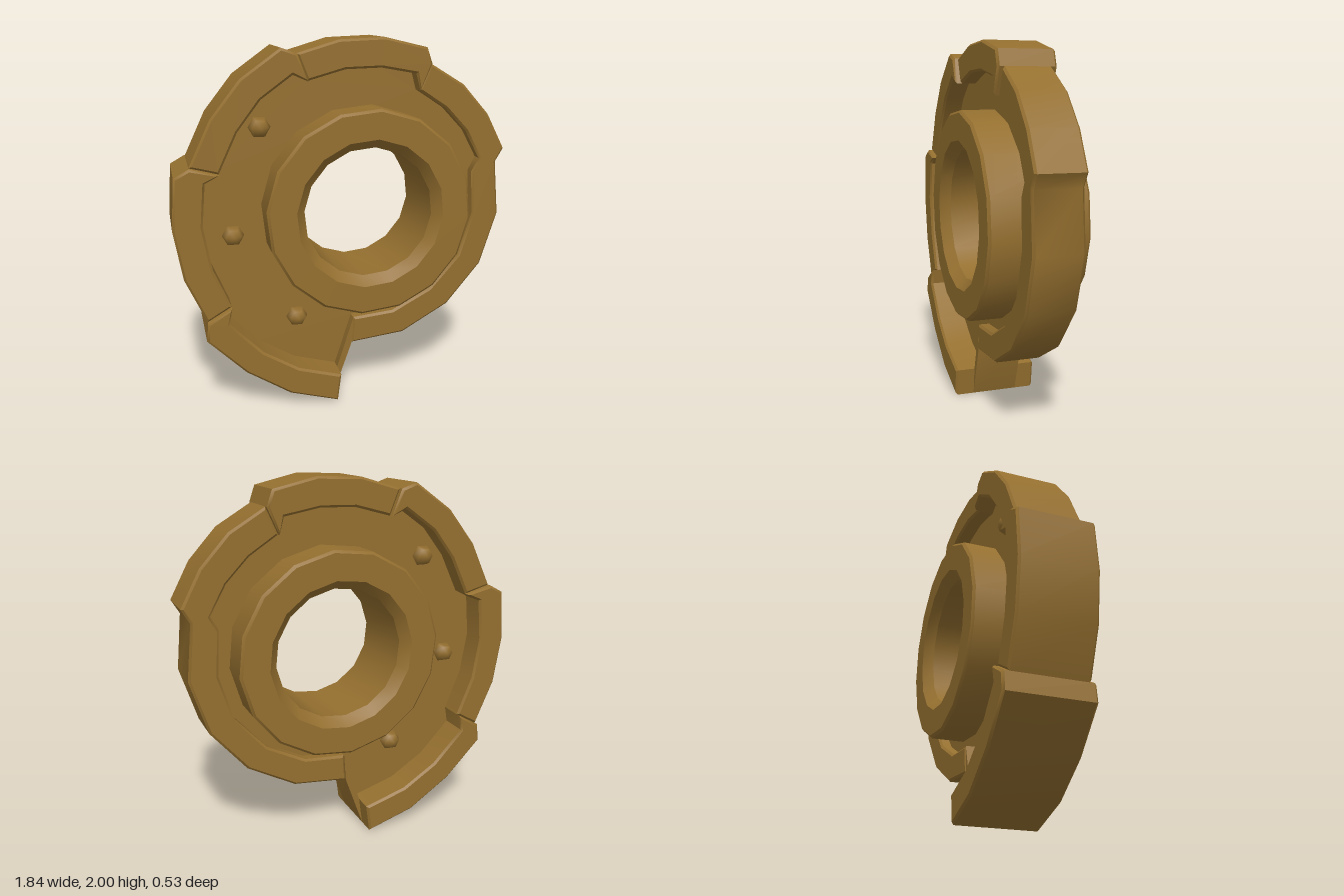
import * as THREE from 'three';
import { toCreasedNormals } from 'three/addons/utils/BufferGeometryUtils.js';

const HUB = { x: 0.117, y: 1.086 };

// Stepped spiral outline and the matching inner edge of the rim, point for point
const OUTER = [
  [-0.06, 0], [-0.33, 0.08], [-0.57, 0.235], [-0.775, 0.44],
  [-0.765, 0.54], [-0.875, 0.785], [-0.92, 1.055], [-0.9, 1.325],
  [-0.82, 1.37], [-0.705, 1.61], [-0.55, 1.805], [-0.34, 1.955],
  [-0.255, 1.925], [-0.035, 1.99], [0.21, 2], [0.445, 1.945],
  [0.475, 1.86], [0.668, 1.745], [0.818, 1.58], [0.922, 1.385],
  [0.878, 1.31], [0.908, 1.01], [0.815, 0.713], [0.62, 0.48], [0.352, 0.33], [0.045, 0.298],
];
const INNER = [
  [-0.04, 0.155], [-0.28, 0.225], [-0.475, 0.345], [-0.65, 0.525],
  [-0.635, 0.615], [-0.725, 0.83], [-0.765, 1.065], [-0.745, 1.29],
  [-0.67, 1.33], [-0.57, 1.54], [-0.447, 1.7], [-0.28, 1.82],
  [-0.2, 1.785], [0, 1.84], [0.195, 1.845], [0.387, 1.81],
  [0.412, 1.72], [0.567, 1.62], [0.69, 1.492], [0.777, 1.335],
  [0.737, 1.26], [0.752, 1.02], [0.677, 0.775], [0.508, 0.585], [0.288, 0.47], [0.055, 0.45],
];
// First point, last point and half thickness of each rim segment
const SEGMENTS = [
  [0, 4, 0.235], [4, 8, 0.208], [8, 12, 0.182], [12, 16, 0.155], [16, 25, 0.13],
];
const RIVETS = [[-0.443, 1.548], [-0.6, 0.97], [-0.26, 0.473]];
const PLATE_HALF = 0.068;

const toShape = (points) => new THREE.Shape(points.map(([x, y]) => new THREE.Vector2(x, y)));

// Extrude an outline symmetrically about z = 0, with the bevel cut inside the outline
function slab(shape, half, bevel) {
  const geometry = new THREE.ExtrudeGeometry(shape, {
    depth: 2 * (half - bevel),
    bevelEnabled: bevel > 0,
    bevelThickness: bevel,
    bevelSize: bevel,
    bevelOffset: -bevel,
    bevelSegments: 1,
  });
  geometry.translate(0, 0, bevel - half);
  return toCreasedNormals(geometry, 0.7);
}

export function createModel() {
  const group = new THREE.Group();
  const bronze = new THREE.MeshStandardMaterial({ color: 0x946f2f });
  const add = (name, geometry) => {
    const mesh = new THREE.Mesh(geometry, bronze);
    mesh.name = name;
    group.add(mesh);
    return mesh;
  };

  // Recessed central plate
  const plate = toShape(INNER);
  plate.holes.push(new THREE.Path().absarc(HUB.x, HUB.y, 0.46, 0, Math.PI * 2, true));
  add('plate', slab(plate, PLATE_HALF, 0));

  // Rim segments, thinning step by step around the spiral
  SEGMENTS.forEach(([from, to, half], i) => {
    const outline = [...OUTER.slice(from, to + 1), ...INNER.slice(from, to + 1).reverse()];
    add(`rimSegment${i + 1}`, slab(toShape(outline), half, 0.012));
  });

  // Thin wall closing the open end of the spiral
  add('endWall', slab(toShape([INNER[25], OUTER[25], OUTER[0], INNER[0]]), 0.127, 0));

  // Hub ring with a chamfered bore
  const half = 0.263, bevel = 0.014;
  const profile = [
    [0.355, -0.208], [0.405, -half], [0.563 - bevel, -half], [0.563, bevel - half],
    [0.563, half - bevel], [0.563 - bevel, half], [0.405, half], [0.355, 0.208], [0.355, -0.208],
  ].map(([r, z]) => new THREE.Vector2(r, z));
  const hub = new THREE.LatheGeometry(profile, 16);
  hub.rotateX(Math.PI / 2);
  hub.rotateZ(THREE.MathUtils.degToRad(-5));
  hub.translate(HUB.x, HUB.y, 0);
  add('hub', toCreasedNormals(hub, 0.6));

  // Six-sided domed rivets on both faces
  for (const [x, y] of RIVETS) {
    for (const side of [1, -1]) {
      const dome = new THREE.SphereGeometry(0.06, 6, 4);
      dome.rotateX(Math.PI / 2);
      add(side > 0 ? 'frontRivet' : 'backRivet', dome).position.set(x, y, side * PLATE_HALF);
    }
  }
  return group;
}
